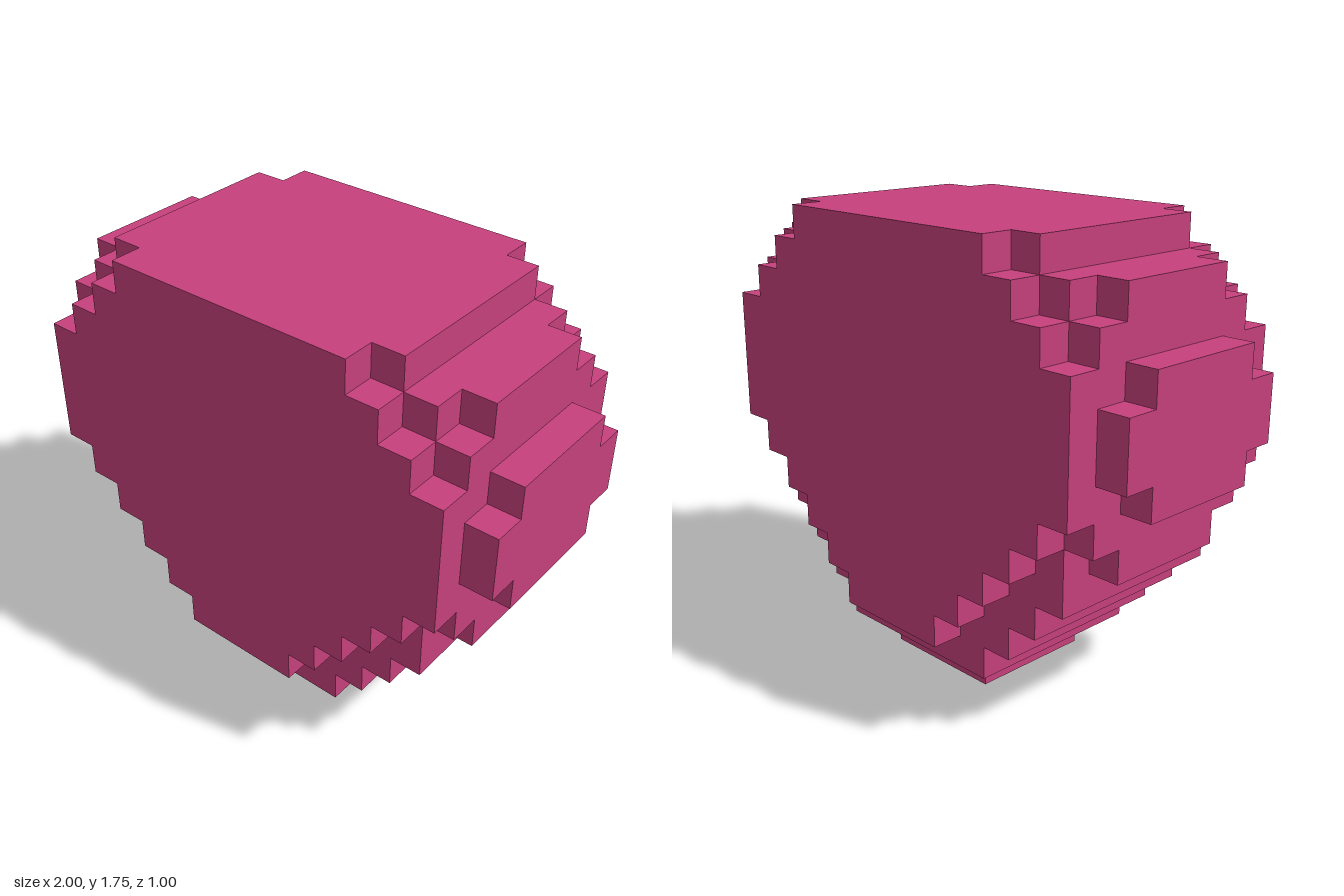
import * as THREE from 'three';

const U = 0.125; // one block

// Half widths in blocks, one per row, starting from row `start`
const CORE = { start: 0, rows: [2, 3, 4, 5, 6, 7, 7, 8, 8, 8, 8, 7, 7, 5] };
const MIDDLE = { start: 1, rows: [3, 4, 5, 6, 6, 7, 7, 8, 8, 7, 7, 6, 5] };
const OUTER = { start: 2, rows: [2, 3, 4, 5, 6, 7, 7, 7, 7, 6, 5, 4] };

// Stepped, mirrored outline extruded from z0 to z1 (in blocks)
function steppedSlab({ start, rows }, z0, z1) {
  const right = [];
  rows.forEach((w, i) => {
    if (w !== rows[i - 1]) right.push(new THREE.Vector2(w * U, (start + i) * U));
    if (w !== rows[i + 1]) right.push(new THREE.Vector2(w * U, (start + i + 1) * U));
  });
  const left = right.map((p) => new THREE.Vector2(-p.x, p.y)).reverse();
  const geometry = new THREE.ExtrudeGeometry(new THREE.Shape([...right, ...left]), {
    depth: (z1 - z0) * U,
    bevelEnabled: false,
  });
  return geometry.translate(0, 0, z0 * U);
}

export function createModel() {
  const model = new THREE.Group();
  model.name = 'blockyBody';
  const pink = new THREE.MeshStandardMaterial({ color: 0xc6417c });
  pink.name = 'pink';

  const add = (name, profile, z0, z1) => {
    const mesh = new THREE.Mesh(steppedSlab(profile, z0, z1), pink);
    mesh.name = name;
    model.add(mesh);
  };

  // Wide core, then two thinner layers stepping inward on the front and back
  add('core', CORE, -2, 2);
  add('frontMiddleLayer', MIDDLE, 2, 3);
  add('backMiddleLayer', MIDDLE, -3, -2);
  add('frontFaceLayer', OUTER, 3, 4);
  add('backFaceLayer', OUTER, -4, -3);
  return model;
}
